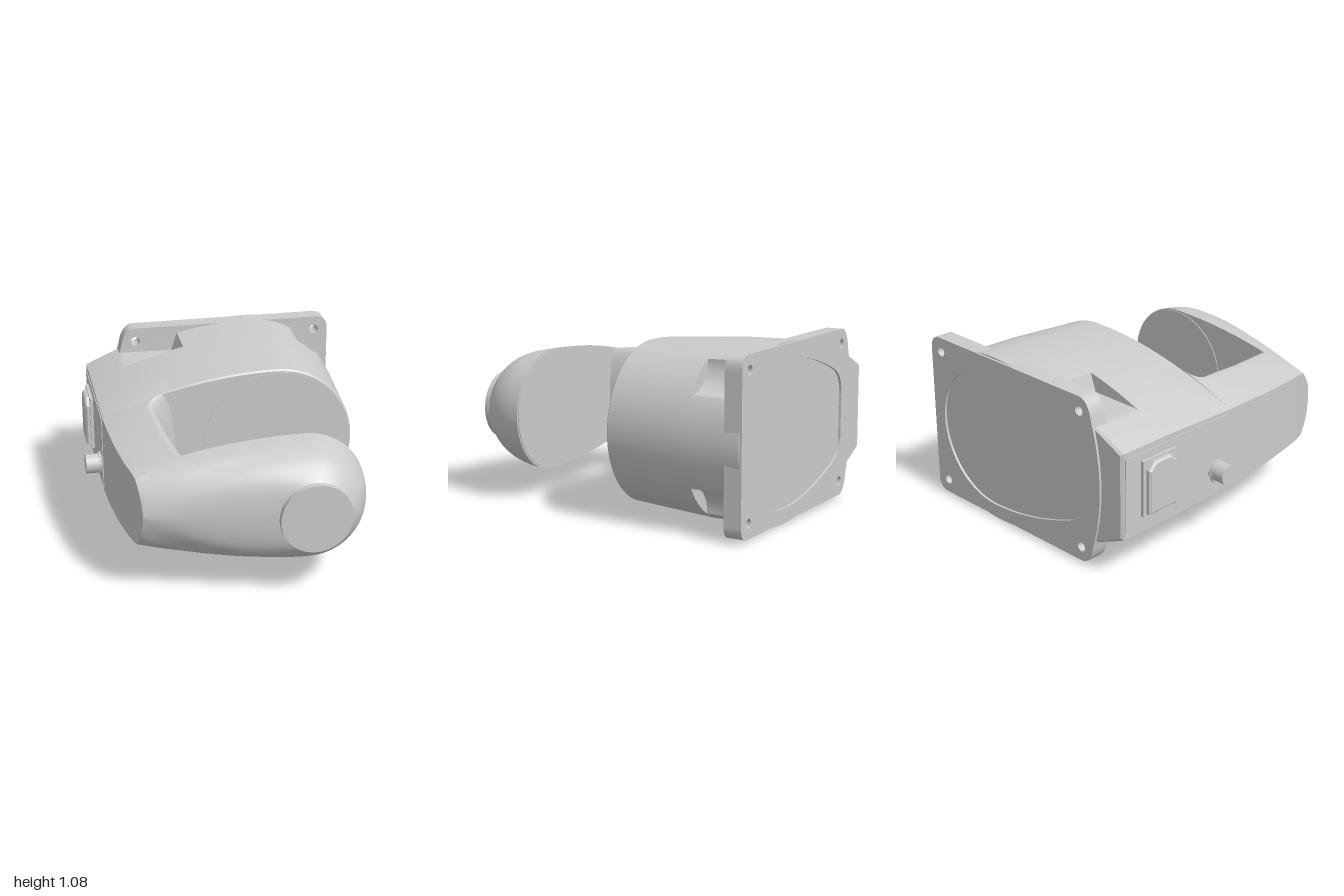
import * as THREE from 'three';
import { toCreasedNormals } from 'three/addons/utils/BufferGeometryUtils.js';

const CX = 0.33, CY = 0.54;
const grey = () => new THREE.MeshStandardMaterial({ color: 0xcccccc });

// Teardrop section along z: [z, left x, half height of flat left end, radius of round end, roundness]
const STATIONS = [
  [-0.985, -0.76, 0.26, 0.54, 1], [-0.97, -0.775, 0.27, 0.54, 1], [-0.6, -0.775, 0.27, 0.53, 1],
  [-0.1, -0.775, 0.255, 0.495, 1], [0.1, -0.766, 0.25, 0.465, 1], [0.3, -0.75, 0.24, 0.435, 1],
  [0.5, -0.724, 0.23, 0.4, 1], [0.63, -0.7, 0.225, 0.38, 1], [0.7, -0.685, 0.215, 0.37, 1],
  [0.75, -0.672, 0.155, 0.36, 0.85], [0.78, -0.663, 0.1, 0.35, 0.77], [0.8, -0.655, 0, 0.343, 0.7],
  [0.84, -0.52, 0, 0.325, 0.6], [0.87, -0.4, 0, 0.307, 0.55], [0.9, -0.25, 0, 0.285, 0.5],
  [0.93, -0.08, 0, 0.255, 0.5], [0.95, 0.03, 0, 0.235, 0.5], [0.965, 0.113, 0, 0.217, 0.5],
  [1, 0.115, 0, 0.215, 0.5],
];

function lerpTable(table, z) {
  let i = 1;
  while (i < table.length - 1 && table[i][0] < z) i++;
  const a = table[i - 1], b = table[i];
  const t = THREE.MathUtils.clamp((z - a[0]) / (b[0] - a[0]), 0, 1);
  return a.map((v, k) => v + (b[k] - v) * t);
}

// Upper half outlines (y measured from the mid plane), left to right
function flatEnd(xl, hl) {
  return [0, 1, 2, 3].map(i => [xl, hl * i / 4]);
}
function fullHalf(z, inset = 0) {
  let [, xl, hl, r, q] = lerpTable(STATIONS, z);
  r -= inset;
  const pts = flatEnd(xl, hl);
  for (let i = 0; i <= 40; i++) {
    const u = Math.cos(i / 40 * Math.PI / 2);
    pts.push([CX - (CX - xl) * u, hl + (r - hl) * Math.pow(Math.max(0, 1 - u * u), q)]);
  }
  for (let i = 1; i <= 20; i++) {
    const a = Math.PI / 2 * (1 - i / 20);
    pts.push([CX + r * Math.cos(a), r * Math.sin(a)]);
  }
  return pts;
}

// Screw pockets cut into the body behind the flange corners
function pocketHalf(z) {
  return fullHalf(z).map(([x, y]) => {
    if (x > -0.57 && x < -0.18) return [x, Math.min(y, 0.365)];
    const dx = x - 0.77, dy = y - 0.44, d = Math.hypot(dx, dy);
    return d < 0.17 ? [0.77 + dx / d * 0.17, 0.44 + dy / d * 0.17] : [x, y];
  });
}

// Arm: the same outline, cut off by a bulging inner face
const INNER = [[-0.09, -0.41, -0.32], [-0.075, -0.455, -0.365], [-0.05, -0.485, -0.39],
  [-0.01, -0.5, -0.4], [0.3, -0.475, -0.385], [0.63, -0.42, -0.34]];
function armHalf(z) {
  const [, xl, hl, r] = lerpTable(STATIONS, z);
  const [, xe, xi] = lerpTable(INNER, z);
  const pts = flatEnd(xl, hl);
  let h = hl;
  for (let i = 0; i <= 12; i++) {
    const x = xl + (xe - xl) * i / 12, u = (CX - x) / (CX - xl);
    h = hl + (r - hl) * (1 - u * u);
    pts.push([x, h]);
  }
  for (let i = 1; i <= 12; i++) {
    const a = i / 12 * Math.PI / 2;
    pts.push([xe + (xi - xe) * Math.sin(a), h * Math.cos(a)]);
  }
  return pts;
}

// Skin a list of [z, half outline] rings, mirrored about the mid plane
function loft(rings, caps) {
  const pos = [], idx = [];
  let n = 0;
  for (const [z, half] of rings) {
    const loop = [...half, ...half.slice(1, -1).reverse().map(([x, y]) => [x, -y])];
    n = loop.length;
    loop.forEach(([x, y]) => pos.push(x, CY + y, z));
  }
  for (let i = 0; i < rings.length - 1; i++) for (let j = 0; j < n; j++) {
    const a = i * n + j, b = i * n + (j + 1) % n;
    idx.push(a, a + n, b, b, a + n, b + n);
  }
  if (caps) {
    const c = pos.length / 3, last = (rings.length - 1) * n;
    pos.push(CX, CY, rings[0][0], CX, CY, rings[rings.length - 1][0]);
    for (let j = 0; j < n; j++) {
      const k = (j + 1) % n;
      idx.push(c, j, k, c + 1, last + k, last + j);
    }
  }
  const g = new THREE.BufferGeometry();
  g.setAttribute('position', new THREE.Float32BufferAttribute(pos, 3));
  g.setIndex(idx);
  return toCreasedNormals(g, 0.55);
}

function flangeGeometry() {
  const s = new THREE.Shape();
  s.moveTo(-0.46, 0.02);
  s.lineTo(0.78, 0.02);
  s.quadraticCurveTo(0.86, 0.02, 0.86, 0.1);
  s.lineTo(0.86, 0.98);
  s.quadraticCurveTo(0.86, 1.07, 0.78, 1.07);
  s.lineTo(-0.46, 1.07);
  s.quadraticCurveTo(-0.53, 1.06, -0.55, 0.94);
  s.quadraticCurveTo(-0.67, 0.54, -0.55, 0.15);
  s.quadraticCurveTo(-0.53, 0.03, -0.46, 0.02);
  for (const x of [-0.45, 0.77]) for (const y of [0.11, 0.98]) {
    s.holes.push(new THREE.Path().absarc(x, y, 0.03, 0, Math.PI * 2, true));
  }
  // shallow oval recess in the mounting face
  const r = new THREE.Path();
  r.moveTo(0.33, 0.1);
  r.absarc(0.33, CY, 0.44, -Math.PI / 2, Math.PI / 2, false);
  r.quadraticCurveTo(0, 0.98, -0.36, 0.83);
  r.quadraticCurveTo(-0.46, 0.78, -0.46, 0.68);
  r.lineTo(-0.46, 0.4);
  r.quadraticCurveTo(-0.46, 0.3, -0.36, 0.25);
  r.quadraticCurveTo(0, 0.1, 0.33, 0.1);
  s.holes.push(r);
  const g = new THREE.ExtrudeGeometry(s, { depth: 0.11, bevelEnabled: false, curveSegments: 16 });
  return toCreasedNormals(g.translate(0, 0, -1), 0.5);
}

export function createModel() {
  const model = new THREE.Group();
  const add = (name, geo, x = 0, y = 0, z = 0) => {
    const m = new THREE.Mesh(geo, grey());
    m.name = name;
    m.position.set(x, y, z);
    model.add(m);
    return m;
  };

  // Main housing with screw pockets
  const body = [-0.985, -0.97, -0.89].map(z => [z, fullHalf(z)]);
  for (const z of [-0.889, -0.76, -0.641]) body.push([z, pocketHalf(z)]);
  for (const z of [-0.64, -0.6, -0.35, -0.1]) body.push([z, fullHalf(z)]);
  body.push([-0.09, fullHalf(-0.09, 0.01)]);
  add('housing', loft(body, true));
  add('mountingFlange', flangeGeometry());

  // Side arm and rounded head
  const armZ = [-0.09, -0.075, -0.05, -0.01, 0.1, 0.2, 0.3, 0.4, 0.5, 0.63];
  add('sideArm', loft(armZ.map(z => [z, armHalf(z)]), false));
  const headZ = STATIONS.map(s => s[0]).filter(z => z >= 0.63);
  add('head', loft(headZ.map(z => [z, fullHalf(z)]), true));

  // Round joint faces either side of the gap
  const disc = (name, r, z) => {
    add(name, new THREE.CylinderGeometry(r, r, 0.01, 40).rotateX(Math.PI / 2), CX, CY, z);
  };
  disc('housingJointFace', 0.475, -0.09);
  disc('headJointFace', 0.37, 0.63);

  // Connector panel on the side
  add('connectorPanel', new THREE.BoxGeometry(0.01, 0.47, 0.84), -0.775, CY, -0.54);
  add('socketPlate', new THREE.BoxGeometry(0.03, 0.35, 0.27), -0.785, 0.55, -0.705);
  const cover = new THREE.Shape();
  cover.moveTo(-0.1, -0.15);
  cover.lineTo(0.1, -0.15);
  cover.lineTo(0.1, 0.11);
  cover.lineTo(0.06, 0.15);
  cover.lineTo(-0.06, 0.15);
  cover.lineTo(-0.1, 0.11);
  const coverGeo = new THREE.ExtrudeGeometry(cover, {
    depth: 0.02, bevelThickness: 0.012, bevelSize: 0.012, bevelSegments: 1,
  }).rotateY(-Math.PI / 2);
  add('socketCover', coverGeo, -0.798, 0.55, -0.705);
  const plug = (name, r, len, sides) => {
    add(name, new THREE.CylinderGeometry(r, r, len, sides).rotateZ(Math.PI / 2), -0.77 - len / 2, 0.44, -0.205);
  };
  plug('plugNut', 0.075, 0.025, 6);
  plug('plug', 0.062, 0.11, 24);
  return model;
}
